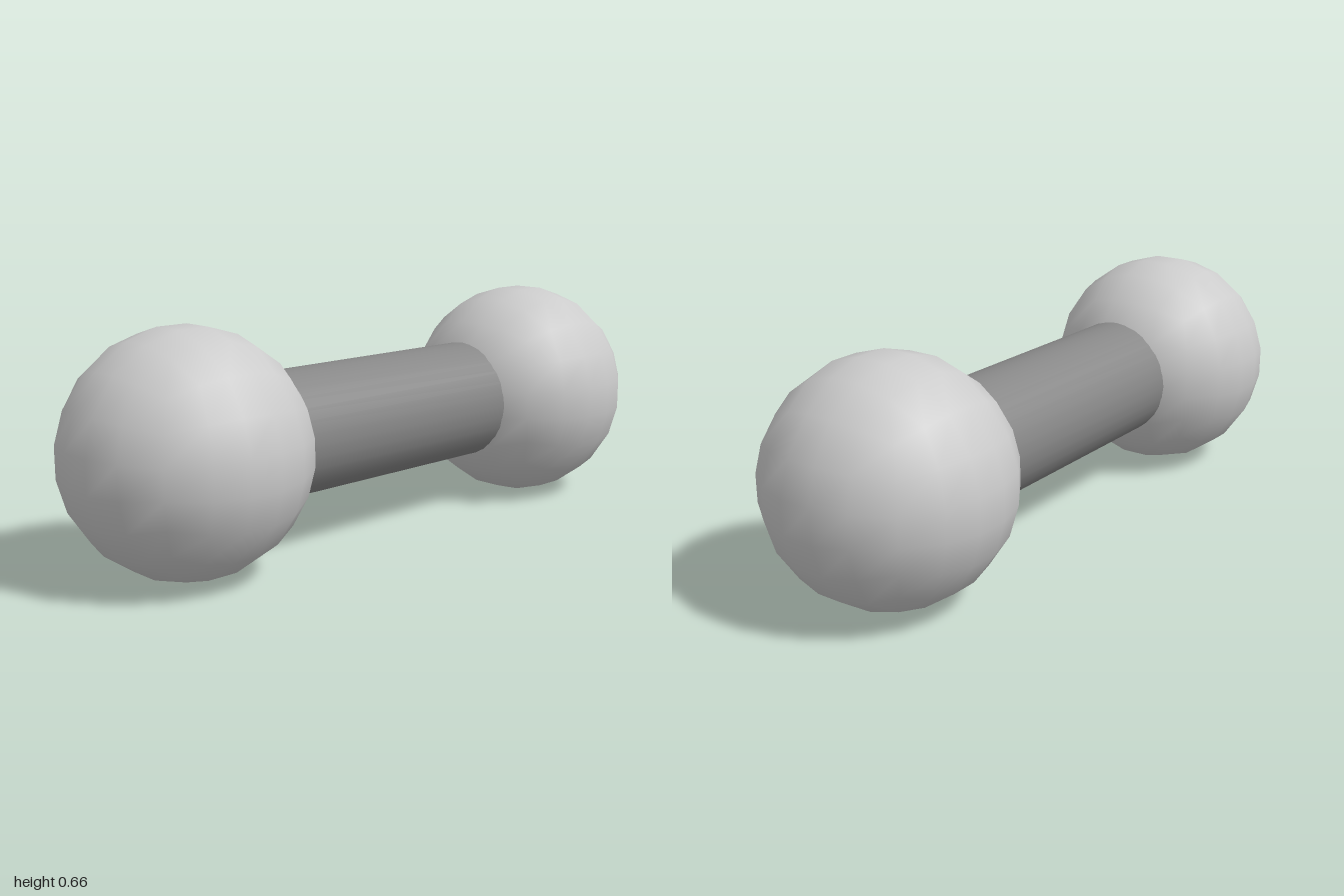
import * as THREE from 'three';

const RADIUS = 0.3365;      // ball radius before faceting
const CENTER_X = 0.67;      // ball centre distance from the middle
const AXIS_Y = 0.33;        // height of the bar axis
const BAR_RADIUS = 0.178;

// Cube grid bulged evenly into a ball, with smooth radial normals
function ballGeometry(radius, segments) {
  const geometry = new THREE.BoxGeometry(2, 2, 2, segments, segments, segments);
  const position = geometry.attributes.position;
  const normal = geometry.attributes.normal;
  const bulge = (a, b, c) => a * Math.sqrt(1 - (b * b + c * c) / 2 + (b * b * c * c) / 3);
  for (let i = 0; i < position.count; i++) {
    const x = position.getX(i), y = position.getY(i), z = position.getZ(i);
    const n = new THREE.Vector3(bulge(x, y, z), bulge(y, z, x), bulge(z, x, y)).normalize();
    normal.setXYZ(i, n.x, n.y, n.z);
    position.setXYZ(i, n.x * radius, n.y * radius, n.z * radius);
  }
  return geometry;
}

export function createModel() {
  const model = new THREE.Group();
  model.name = 'dumbbell';

  // Ball weights at both ends
  const ballMaterial = new THREE.MeshStandardMaterial({ color: 0xcccccc });
  const ball = ballGeometry(RADIUS, 5);
  for (const [name, side] of [['leftBall', 1], ['rightBall', -1]]) {
    const mesh = new THREE.Mesh(ball, ballMaterial);
    mesh.name = name;
    mesh.position.set(side * CENTER_X, AXIS_Y, 0);
    model.add(mesh);
  }

  // Darker handle running into both balls
  const bar = new THREE.Mesh(
    new THREE.CylinderGeometry(BAR_RADIUS, BAR_RADIUS, CENTER_X * 2, 32),
    new THREE.MeshStandardMaterial({ color: 0x888888 })
  );
  bar.name = 'handle';
  bar.rotation.z = Math.PI / 2;
  bar.position.y = AXIS_Y;
  model.add(bar);

  return model;
}
